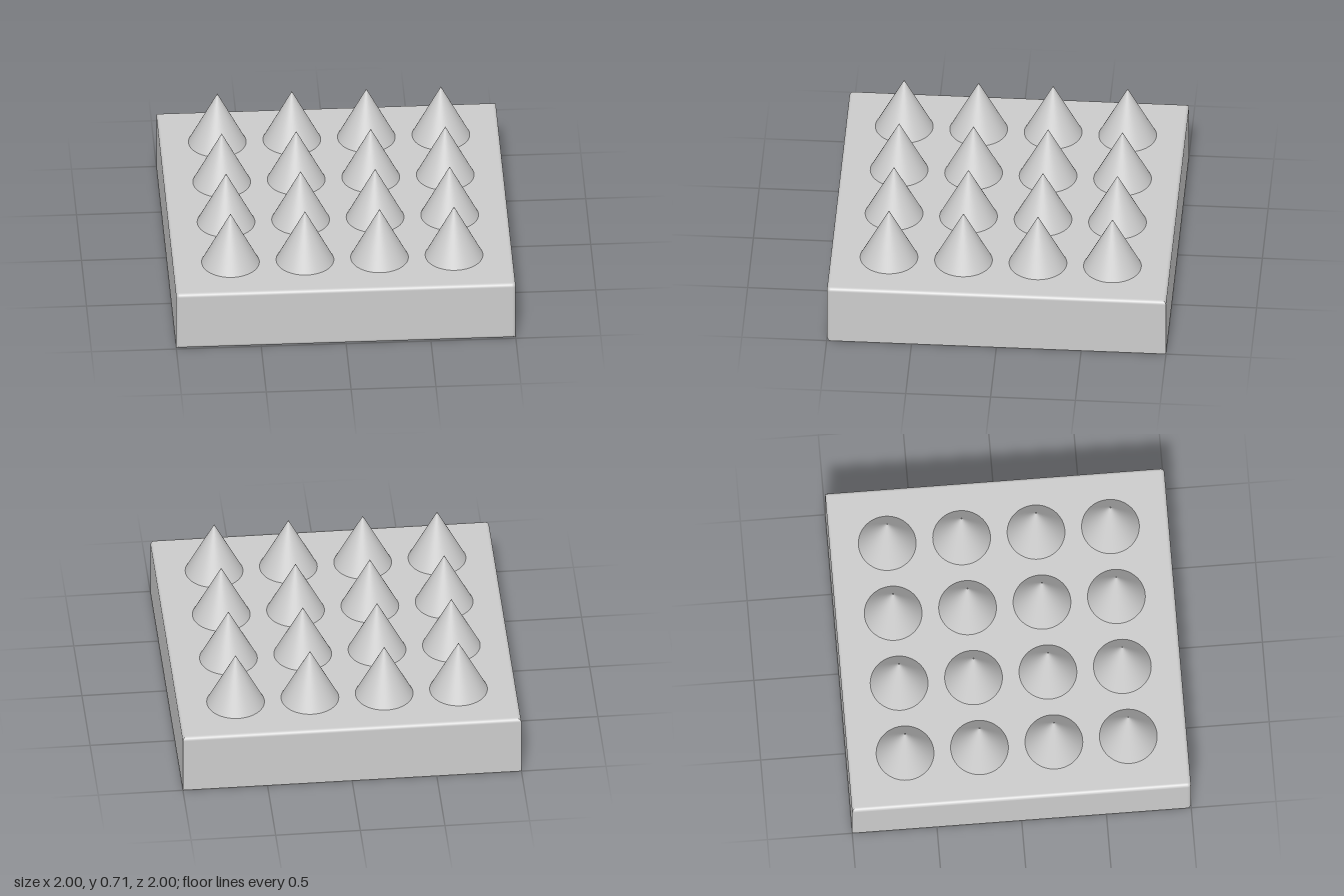
import * as THREE from 'three';
import { RoundedBoxGeometry } from 'three/addons/geometries/RoundedBoxGeometry.js';

const W = 2, H = 0.376, R = 0.022;

// Rounded slab whose bottom (sides, back) and rear upright edges are squared off again;
// the edges round the top and the front stay rounded.
function slabGeometry() {
  const geo = new RoundedBoxGeometry(W, H, W, 4, R);
  const pos = geo.attributes.position, nor = geo.attributes.normal;
  const core = [W / 2 - R, H / 2 - R, W / 2 - R];
  for (let t = 0; t < pos.count; t += 3) {
    // offsets from the inner core, and their mean for the whole triangle
    const offsets = [0, 1, 2].map((k) => core.map((c, a) => {
      const v = pos.getComponent(t + k, a);
      return v - Math.sign(v) * c;
    }));
    const mean = [0, 1, 2].map((a) => offsets[0][a] + offsets[1][a] + offsets[2][a]);
    offsets.forEach((d, k) => {
      const i = t + k;
      const p = [pos.getX(i), pos.getY(i), pos.getZ(i)];
      // axes that meet in a sharp edge here
      const bottom = p[1] < 0, back = p[2] < 0;
      if (!bottom && !back) return;
      const axes = bottom && back ? [0, 1, 2] : bottom ? [0, 1] : [0, 2];
      const length = Math.hypot(...axes.map((a) => d[a]));
      const largest = Math.max(...axes.map((a) => Math.abs(d[a])));
      if (largest < 1e-6) return;
      const main = axes.reduce((m, a) => (Math.abs(mean[a]) > Math.abs(mean[m]) ? a : m));
      for (const a of axes) {
        pos.setComponent(i, a, Math.sign(p[a]) * core[a] + d[a] * length / largest);
        nor.setComponent(i, a, a === main ? Math.sign(p[a]) * length / R : 0);
      }
    });
  }
  return geo;
}

export function createModel() {
  const group = new THREE.Group();
  const material = new THREE.MeshStandardMaterial({ color: 0xcccccc });

  // Base slab
  const slab = new THREE.Mesh(slabGeometry(), material);
  slab.name = 'baseSlab';
  slab.position.y = H / 2;
  group.add(slab);

  // Four by four grid of cones
  const spikes = new THREE.Group();
  spikes.name = 'spikes';
  const height = 0.336, pitch = 0.439, start = -0.661;
  const cone = new THREE.ConeGeometry(0.17, height, 64, 1, true);
  for (let row = 0; row < 4; row++) {
    for (let col = 0; col < 4; col++) {
      const spike = new THREE.Mesh(cone, material);
      spike.name = 'spike';
      spike.position.set(start + col * pitch, H + height / 2, start + row * pitch);
      spikes.add(spike);
    }
  }
  group.add(spikes);
  return group;
}
